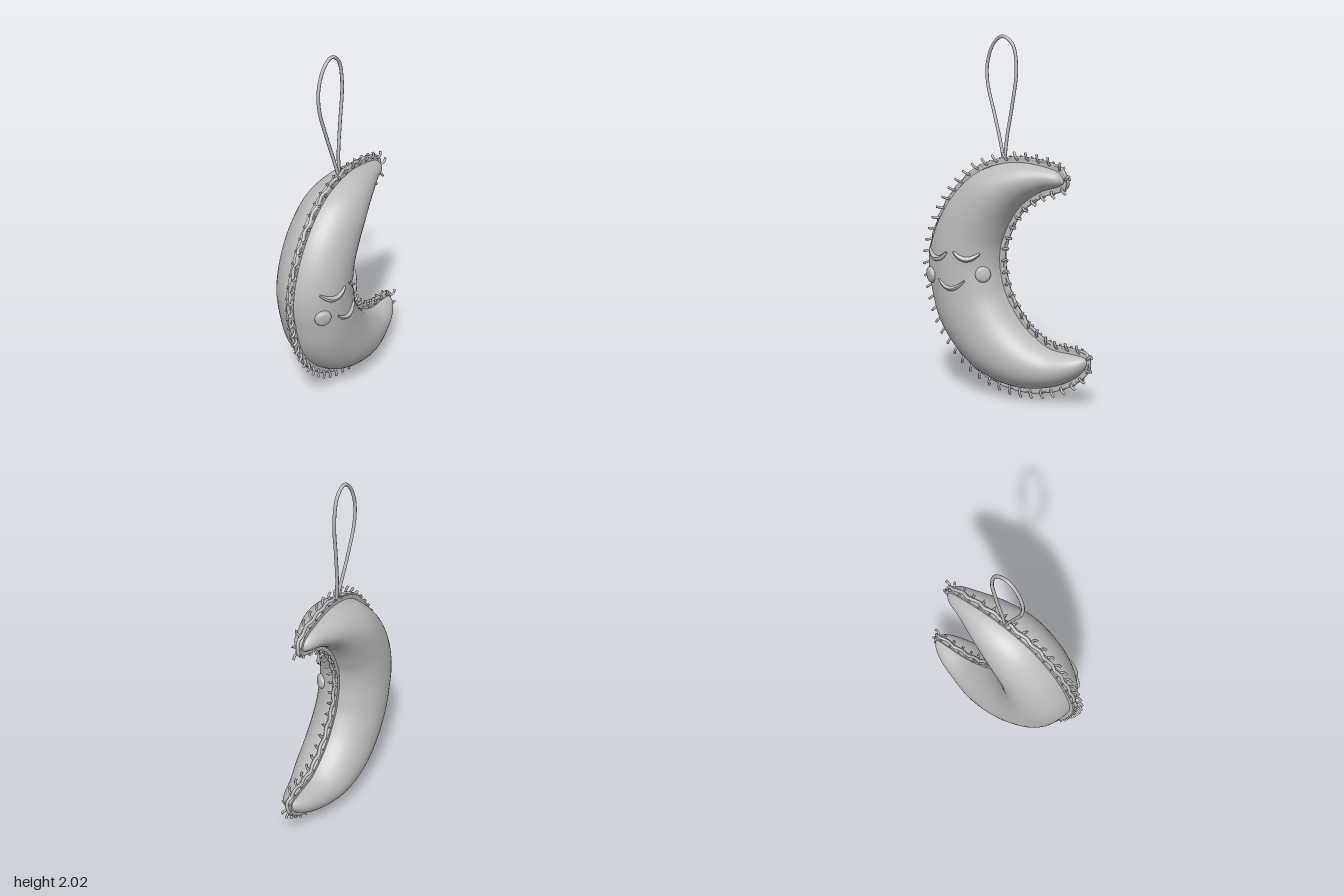
import * as THREE from 'three';

const V = (x, y, z) => new THREE.Vector3(x, y, z);
const curveZY = (pts) => new THREE.CatmullRomCurve3(pts.map(([z, y]) => V(0, y, z)));

// Crescent edges as matching [z, y] stations, upper tip to lower tip
const outerPts = [[-.375, 1.225], [-.34, 1.28], [-.21, 1.317], [-.02, 1.325], [.19, 1.26], [.35, 1.117],
  [.455, .947], [.513, .735], [.492, .55], [.435, .365], [.32, .206], [.164, .085], [-.074, .017],
  [-.286, .04], [-.444, .113], [-.508, .18], [-.52, .225]];
const innerPts = [[-.375, 1.185], [-.328, 1.16], [-.233, 1.13], [-.116, 1.053], [-.05, .965], [-.015, .89],
  [.01, .815], [.013, .72], [.0, .65], [-.02, .58], [-.06, .505], [-.105, .44], [-.175, .37],
  [-.286, .305], [-.418, .292], [-.488, .283], [-.515, .262]];
const outer = curveZY(outerPts), inner = curveZY(innerPts);

// Stuffed body: elliptical sections spanning the two edges
function bodyGeometry(nu = 90, nt = 40) {
  const pos = [], index = [];
  for (let i = 0; i <= nu; i++) {
    const u = i / nu, o = outer.getPoint(u), n = inner.getPoint(u);
    const mid = o.clone().add(n).multiplyScalar(.5), span = o.distanceTo(n);
    const half = o.sub(n).multiplyScalar(Math.max(.004, span - .046) / span / 2);
    const w = .2 * Math.pow(Math.sin(Math.min(1, half.length() * 2 / .46) * Math.PI / 2), 1.05);
    for (let j = 0; j < nt; j++) {
      const t = j / nt * Math.PI * 2, c = Math.cos(t), s = Math.sin(t);
      pos.push(w * s * (s < 0 ? 1.06 : .98) - .005, mid.y + half.y * c, mid.z + half.z * c);
      if (i < nu) {
        const a = i * nt + j, b = i * nt + (j + 1) % nt;
        index.push(a, a + nt, b, b, a + nt, b + nt);
      }
    }
  }
  const g = new THREE.BufferGeometry();
  g.setAttribute('position', new THREE.Float32BufferAttribute(pos, 3));
  g.setIndex(index);
  g.computeVertexNormals();
  return g;
}

// Tube that narrows to its ends
function taperedTube(path, seg, radius, sides, endScale) {
  const g = new THREE.TubeGeometry(path, seg, radius, sides);
  const p = g.attributes.position, v = V(0, 0, 0);
  for (let i = 0; i <= seg; i++) {
    const c = path.getPointAt(i / seg);
    const k = endScale + (1 - endScale) * Math.sin(Math.PI * i / seg);
    for (let j = 0; j <= sides; j++) {
      const q = i * (sides + 1) + j;
      v.fromBufferAttribute(p, q).sub(c).multiplyScalar(k).add(c);
      p.setXYZ(q, v.x, v.y, v.z);
    }
  }
  g.computeVertexNormals();
  return g;
}

export function createModel() {
  const model = new THREE.Group();
  const felt = new THREE.MeshStandardMaterial({ color: 0xbbbbbb });
  felt.name = 'soft grey felt';
  const add = (name, geo, parent = model) => {
    const m = new THREE.Mesh(geo, felt);
    m.name = name;
    parent.add(m);
    return m;
  };

  const body = add('crescentBody', bodyGeometry());

  // Flat seam joining the two felt halves
  const rim = new THREE.CatmullRomCurve3(
    [...outerPts, ...innerPts.slice().reverse()].map(([z, y]) => V(0, y, z)), true);
  const shape = new THREE.Shape(rim.getPoints(180).slice(0, -1).map((p) => new THREE.Vector2(-p.z, p.y)));
  const seam = new THREE.ExtrudeGeometry(shape, { depth: .034, bevelEnabled: false });
  seam.rotateY(Math.PI / 2).translate(-.026, 0, 0);
  add('seamFlange', seam);

  // Blanket stitching: a thread along the edge with loops biting inward
  const stitching = new THREE.Group();
  stitching.name = 'stitching';
  model.add(stitching);
  const thread = new THREE.CatmullRomCurve3(rim.getSpacedPoints(120).slice(0, -1).map((p, i) =>
    p.setX(-.004 + .006 * Math.sin(i * 2.1))), true);
  add('edgeThread', new THREE.TubeGeometry(thread, 300, .01, 6, true), stitching);
  const count = 64;
  for (let i = 0; i < count; i++) {
    const p = rim.getPointAt(i / count), t = rim.getTangentAt(i / count);
    const out = V(0, -t.z, t.y);
    if (out.dot(V(0, .72, .75)) < 0 && i === 0) out.negate();
    const at = (x, o, s) => p.clone().addScaledVector(out, o).addScaledVector(t, s).setX(x);
    // The outline runs clockwise seen from +x, so the inside lies along -out or +out consistently
    const path = new THREE.CatmullRomCurve3([at(-.026, -.012, -.006), at(-.02, .005, 0), at(.008, .006, 0),
      at(.022, -.012, .006), at(.018, -.034, .016)]);
    add('stitch', new THREE.TubeGeometry(path, 10, .0075, 5), stitching);
  }

  // Sleeping face laid on the +x side
  const ray = new THREE.Raycaster();
  const surface = (z, y) => {
    ray.set(V(1, y, z), V(-1, 0, 0));
    const hit = ray.intersectObject(body)[0];
    return { point: hit.point, normal: hit.face.normal };
  };
  const arc = (name, z0, y0, z1, y1, sag, radius) => {
    const pts = [];
    for (let i = 0; i <= 8; i++) {
      const s = i / 8, k = 1 - (2 * s - 1) ** 2;
      const { point, normal } = surface(z0 + (z1 - z0) * s, y0 + (y1 - y0) * s - sag * k);
      pts.push(point.clone().addScaledVector(normal, .006));
    }
    add(name, taperedTube(new THREE.CatmullRomCurve3(pts), 24, radius, 8, .35));
  };
  arc('closedEye', .418, .802, .27, .804, .043, .016);
  arc('closedEye', .228, .81, .095, .802, .038, .016);
  arc('smile', .328, .645, .164, .65, .048, .013);

  const button = [[0, .022], [.028, .021], [.041, .016], [.047, .006], [.046, -.015]]
    .reverse().map(([r, h]) => new THREE.Vector2(r, h));
  for (const [z, y, s] of [[.408, .655, 1], [.082, .682, .95]]) {
    const { point, normal } = surface(z, y);
    const cheek = add('cheek', new THREE.LatheGeometry(button, 28));
    cheek.position.copy(point);
    cheek.quaternion.setFromUnitVectors(V(0, 1, 0), normal);
    cheek.scale.setScalar(s);
  }

  // Hanging loop
  const loop = new THREE.CatmullRomCurve3([V(-.015, 1.31, .025), V(-.028, 1.43, .058), V(-.04, 1.555, .097),
    V(-.05, 1.74, .15), V(-.05, 1.86, .148), V(-.045, 1.955, .105), V(-.04, 1.99, .05), V(-.038, 1.95, -.015),
    V(-.036, 1.82, -.043), V(-.032, 1.61, -.018), V(-.025, 1.45, .008), V(-.015, 1.31, .02)]);
  add('hangingLoop', new THREE.TubeGeometry(loop, 90, .0095, 8));

  return model;
}
